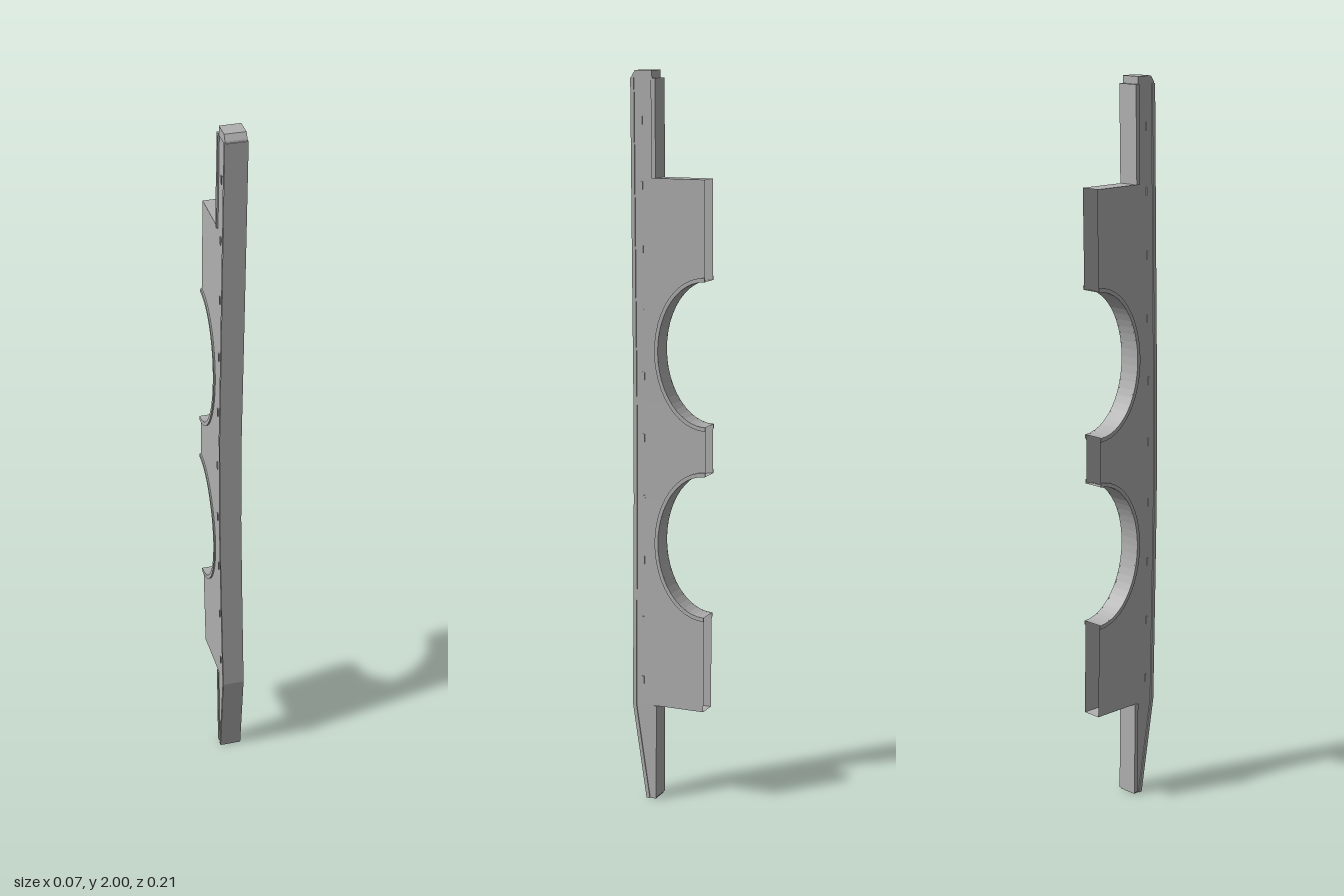
import * as THREE from 'three';

// the panel bows gently sideways: centre line x at height y
const BOW = [[0, 0.005], [0.27, 0.002], [0.6, -0.004], [0.85, -0.008], [1.13, -0.008], [1.38, -0.004], [1.72, 0.001], [2, 0.005]];
const ARCHES = [0.732, 1.257];
const BACK = -0.105, SPINE_BACK = 0.036, FRONT = 0.104;

function bow(y) {
  for (let i = 1; i < BOW.length; i++) {
    const [y0, x0] = BOW[i - 1], [y1, x1] = BOW[i];
    if (y <= y1) return x0 + (x1 - x0) * (y - y0) / (y1 - y0);
  }
  return BOW[BOW.length - 1][1];
}

// front edge, slanting in at the foot
const frontZ = y => (y < 0.27 ? 0.062 + (FRONT - 0.062) * y / 0.27 : FRONT);

// stacked cross-sections [y, front z, back z], closed at both ends;
// where the back lies on openZ the shell is left open
function loft(rows, half, openZ = null) {
  const p = [];
  const quad = (a, b, c, d) => p.push(...a, ...b, ...c, ...a, ...c, ...d);
  const ring = ([y, f, b]) => {
    const c = bow(y);
    return [[c - half, y, f], [c + half, y, f], [c + half, y, b], [c - half, y, b]];
  };
  rows.slice(1).forEach((row, i) => {
    const lo = ring(rows[i]), hi = ring(row);
    for (let k = 0; k < 4; k++) {
      const n = (k + 1) % 4;
      if (k === 2 && openZ !== null && row[2] === openZ && rows[i][2] === openZ) continue;
      if (k !== 2 && row[0] === rows[i][0]) continue;
      quad(lo[k], lo[n], hi[n], hi[k]);
    }
  });
  const s = ring(rows[0]), e = ring(rows[rows.length - 1]);
  quad(s[3], s[2], s[1], s[0]);
  quad(e[0], e[1], e[2], e[3]);
  const g = new THREE.BufferGeometry();
  g.setAttribute('position', new THREE.Float32BufferAttribute(p, 3));
  g.computeVertexNormals();
  return g;
}

// raised half-elliptical band around an arch, on one side of the panel
function archRim(cy, side) {
  const s = new THREE.Shape();
  const pts = [];
  const arc = (a, b, from, to) => {
    for (let i = 0; i <= 24; i++) {
      const t = (from + (to - from) * i / 24) * Math.PI / 2;
      pts.push(new THREE.Vector2(-(BACK + a * Math.cos(t)), cy + b * Math.sin(t)));
    }
  };
  arc(0.137, 0.195, -1, 1);
  arc(0.147, 0.206, 1, -1);
  s.setFromPoints(pts);
  const g = new THREE.ExtrudeGeometry(s, { depth: 0.004, bevelEnabled: false });
  g.rotateY(Math.PI / 2);
  g.translate(side > 0 ? 0.027 : -0.031, 0, 0);
  const pos = g.attributes.position;
  for (let i = 0; i < pos.count; i++) pos.setX(i, pos.getX(i) + bow(pos.getY(i)));
  g.computeVertexNormals();
  return g;
}

export function createModel() {
  const group = new THREE.Group();
  const grey = new THREE.MeshStandardMaterial({ color: 0xb0b0b0, side: THREE.DoubleSide });
  grey.name = 'plain grey';
  const add = (name, geometry) => {
    const mesh = new THREE.Mesh(geometry, grey);
    mesh.name = name;
    group.add(mesh);
    return mesh;
  };

  // hollow panel with two arched cut-outs and an open back
  const rows = [[0, SPINE_BACK], [0.27, SPINE_BACK], [0.27, BACK]];
  for (const cy of ARCHES) {
    for (let i = 0; i <= 28; i++) {
      const t = (i / 28 - 0.5) * Math.PI;
      const depth = i % 28 ? 0.137 * Math.cos(t) : 0;
      rows.push([cy + 0.195 * Math.sin(t), BACK + depth]);
    }
  }
  rows.push([1.72, BACK], [1.72, SPINE_BACK], [1.98, SPINE_BACK]);
  add('panelShell', loft(rows.map(([y, b]) => [y, frontZ(y), b]), 0.027, BACK));

  // stepped cap on the top end
  add('topCap', loft([[1.975, 0.104, 0.044], [1.985, 0.102, 0.044], [2, 0.092, 0.044]], 0.028));

  // lip running along the whole front edge
  const lip = [...BOW.map(b => b[0]).filter(y => y < 2), 1.98];
  add('frontLip', loft(lip.map(y => [y, frontZ(y) + 0.001, frontZ(y) - 0.009]), 0.03));

  // rear flanges on the two exposed spine ends
  add('lowerFlange', loft([[0.004, 0.046, 0.034], [0.27, 0.046, 0.034]], 0.03));
  add('upperFlange', loft([[1.72, 0.046, 0.034], [1.98, 0.046, 0.034]], 0.031));

  // arch rims and small clips on both sides
  for (const side of [-1, 1]) {
    for (const cy of ARCHES) add('archRim', archRim(cy, side));
    for (let i = 0; i < 10; i++) {
      const y = 0.34 + i * 0.17;
      const clip = add('sideClip', new THREE.BoxGeometry(0.003, 0.022, 0.006));
      clip.position.set(bow(y) + side * 0.028, y, 0.075);
    }
  }
  return group;
}
